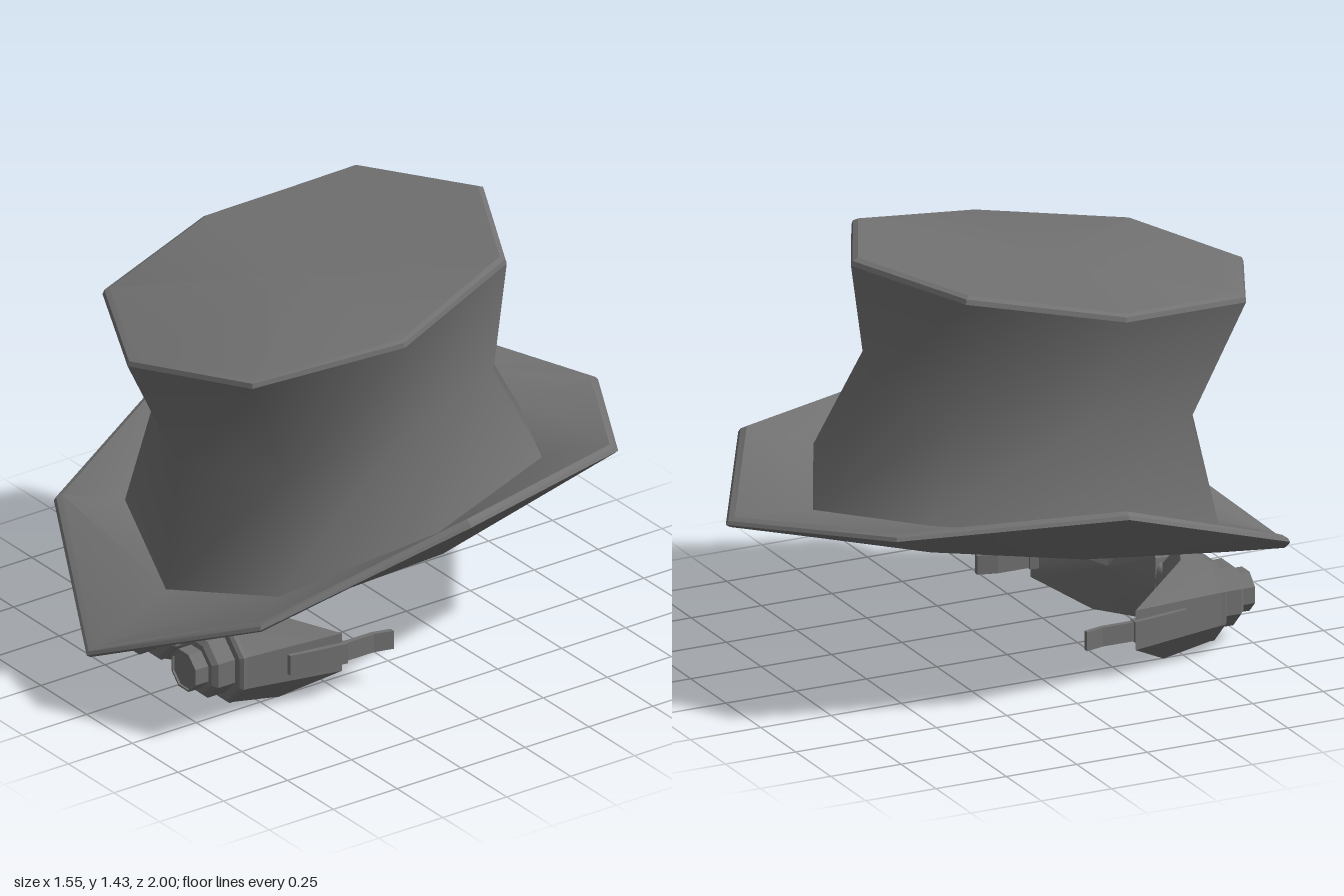
import * as THREE from 'three';
import { toCreasedNormals } from 'three/addons/utils/BufferGeometryUtils.js';

const felt = new THREE.MeshStandardMaterial({ color: 0x717171, side: THREE.DoubleSide });
const faceted = new THREE.MeshStandardMaterial({ color: 0x717171, side: THREE.DoubleSide, flatShading: true });

// Skin a list of equal-length rings; optionally fan-cap the ends.
function loft(rings, { capStart, capEnd } = {}, crease = 0.5) {
  const n = rings[0].length, pos = rings.flat(2), idx = [];
  for (let i = 0; i < rings.length - 1; i++) {
    const k = (i + 1) * n;
    for (let j = 0; j < n; j++) {
      const j2 = (j + 1) % n, a = i * n + j, b = i * n + j2;
      idx.push(a, b, k + j2, a, k + j2, k + j);
    }
  }
  const cap = (ring, base, flip) => {
    const c = pos.length / 3;
    for (let d = 0; d < 3; d++) pos.push(ring.reduce((s, p) => s + p[d], 0) / n);
    for (let j = 0; j < n; j++) {
      const a = base + j, b = base + (j + 1) % n;
      idx.push(c, flip ? b : a, flip ? a : b);
    }
  };
  if (capStart) cap(rings[0], 0, true);
  if (capEnd) cap(rings[rings.length - 1], (rings.length - 1) * n, false);
  const g = new THREE.BufferGeometry();
  g.setAttribute('position', new THREE.Float32BufferAttribute(pos, 3));
  g.setIndex(idx);
  return toCreasedNormals(g, crease);
}

// Mirror five points (front, front corner, side, back corner, back) into an eight-sided ring.
const ring8 = (half) => [...half, ...half.slice(1, 4).reverse().map(([x, y, z]) => [-x, y, z])];
// Shrink a half ring about its own middle in plan and lift it.
function inset(half, s, lift) {
  const cz = half[2][2];
  return half.map(([x, y, z]) => [x * s, y + lift, cz + (z - cz) * s]);
}

function add(parent, name, geometry, material = felt) {
  const m = new THREE.Mesh(geometry, material);
  m.name = name;
  parent.add(m);
}

// Octagon with flat top and sides, counter-clockwise seen from the front.
const octagon = (apothem, depth) => depth.map((z, i) => {
  const a = (i - 0.5) * Math.PI / 4, r = apothem / Math.cos(Math.PI / 8);
  return [Math.cos(a) * r, Math.sin(a) * r, z];
});

// Flat band swept through [x, z] points, given height and thickness.
function band(points, height, thick) {
  const h = height / 2, t = thick / 2;
  return loft(points.map(([x, z]) => [[x - t, -h, z], [x - t, h, z], [x + t, h, z], [x + t, -h, z]]),
    { capStart: true, capEnd: true });
}

function createGoggle() {
  const g = new THREE.Group();
  g.name = 'goggle';
  const eye = new THREE.Group();
  eye.name = 'eyepiece';
  eye.position.set(0.187, 0.167, 0);
  g.add(eye);

  // cup, tapering back towards the temple
  const back = octagon(0.162, [0.27, 0.27, 0.49, 0.55, 0.54, 0.54, 0.53, 0.43]);
  back[0][0] = back[1][0] = 0.188;
  const front = octagon(0.135, Array(8).fill(0.6));
  add(eye, 'cup', loft([back, front], { capStart: true, capEnd: true }));

  // stepped lens housing with a recessed pane
  const k = 1 / Math.cos(Math.PI / 8);
  const profile = [[0.135, 0.58], [0.135, 0.615], [0.125, 0.625], [0.1, 0.625], [0.1, 0.69],
    [0.085, 0.705], [0.066, 0.705], [0.066, 0.755], [0.06, 0.755], [0.06, 0.748], [0, 0.748]];
  const housing = new THREE.LatheGeometry(profile.map(([r, z]) => new THREE.Vector2(r * k, z)), 8, Math.PI / 8);
  housing.rotateX(Math.PI / 2);
  add(eye, 'lensHousing', housing, faceted);

  // strap mount and strap end
  add(eye, 'strapMount', band([[0.19, 0.26], [0.175, 0.36], [0.155, 0.46]], 0.07, 0.035), faceted);
  add(eye, 'strap', band([[0.205, 0.085], [0.188, 0.15], [0.188, 0.28]], 0.064, 0.018), faceted);
  return g;
}

export function createModel() {
  const model = new THREE.Group();
  model.name = 'topHatWithGoggles';

  const outer = [[0, 0.215, 1], [0.565, 0.455, 0.725], [0.775, 0.71, 0.05], [0.565, 0.685, -0.675], [0, 0.61, -1]];
  const seam = [[0, 0.36, 0.69], [0.42, 0.465, 0.55], [0.55, 0.59, 0.02], [0.42, 0.66, -0.48], [0, 0.61, -0.69]];
  const under = [[0, 0.26, 0.7], [0.41, 0.395, 0.57], [0.55, 0.51, 0], [0.42, 0.57, -0.48], [0, 0.52, -0.7]];
  const waist = [[0, 0.79, 0.64], [0.35, 0.845, 0.48], [0.465, 0.935, 0.07], [0.35, 0.975, -0.34], [0, 0.99, -0.48]];
  const top = [[0, 1.2, 0.84], [0.41, 1.23, 0.645], [0.553, 1.29, 0.15], [0.41, 1.385, -0.35], [0, 1.415, -0.555]];

  // brim with a bevelled outer edge
  add(model, 'brim', loft([under, inset(outer, 0.985, -0.01), outer, inset(outer, 0.992, 0.012),
    inset(outer, 0.97, 0.022), seam].map(ring8)));

  // crown: pinched at the waist, flaring to a slanted top
  add(model, 'crown', loft([seam, waist, top].map(ring8), {}, Math.PI));
  add(model, 'crownTop', loft([top, inset(top, 0.992, 0.016), inset(top, 0.965, 0.024)].map(ring8),
    { capEnd: true }, 0.4));

  // inside: a lip around the opening, then a lining that follows the crown
  const lip = inset(under, 0.92, 0.08);
  add(model, 'innerLip', loft([under, lip].map(ring8)));
  add(model, 'lining', loft([lip, inset(waist, 0.91, 0), inset(top, 0.92, -0.03)].map(ring8),
    { capEnd: true }, 1));

  // goggles: one side built, the other mirrored
  const goggles = new THREE.Group();
  goggles.name = 'goggles';
  for (const side of [1, -1]) {
    const goggle = createGoggle();
    goggle.scale.x = side;
    goggles.add(goggle);
  }
  const waisted = [[0.11, -0.09], [0.075, -0.055], [0.052, -0.025], [0.045, 0],
    [0.052, 0.025], [0.075, 0.055], [0.11, 0.09]];
  const bridge = new THREE.LatheGeometry(waisted.map(([r, y]) => new THREE.Vector2(r, y)), 8);
  bridge.rotateZ(Math.PI / 2).scale(1, 1, 0.4).translate(0, 0.157, 0.56);
  add(goggles, 'noseBridge', bridge);
  model.add(goggles);

  return model;
}
